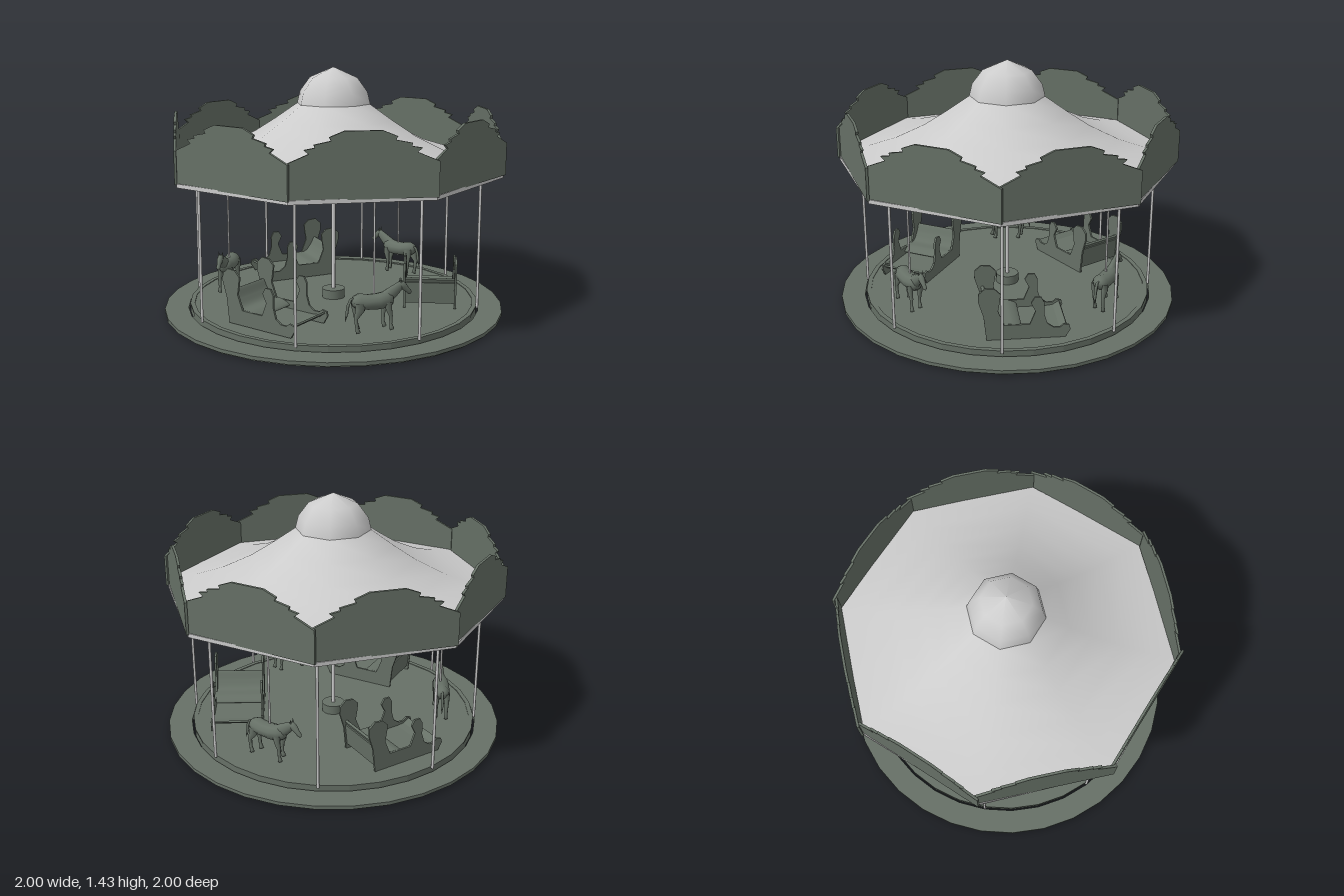
import * as THREE from 'three';

const green = new THREE.MeshStandardMaterial({ color: 0x667066, side: THREE.DoubleSide });
const greenFlat = new THREE.MeshStandardMaterial({ color: 0x667066, flatShading: true });
const grey = new THREE.MeshStandardMaterial({ color: 0xcccccc, side: THREE.DoubleSide });
const greyFlat = new THREE.MeshStandardMaterial({ color: 0xcccccc, flatShading: true, side: THREE.DoubleSide });

function add(parent, name, geometry, material, x = 0, y = 0, z = 0) {
  const mesh = new THREE.Mesh(geometry, material);
  mesh.name = name;
  mesh.position.set(x, y, z);
  parent.add(mesh);
  return mesh;
}

// Group turned about the central axis; children sit out along its +z
function spoke(parent, name, angle) {
  const g = new THREE.Group();
  g.name = name;
  g.rotation.y = angle;
  parent.add(g);
  return g;
}

function disc(parent, name, radius, y0, y1, material, sides = 32) {
  return add(parent, name, new THREE.CylinderGeometry(radius, radius, y1 - y0, sides), material, 0, (y0 + y1) / 2, 0);
}

const pts = list => list.map(([x, y]) => new THREE.Vector2(x, y));

function extrude(list, depth, smooth = false) {
  const shape = new THREE.Shape();
  if (smooth) {
    shape.moveTo(...list[0]);
    shape.splineThru(pts(list.slice(1)));
  } else shape.setFromPoints(pts(list));
  const g = new THREE.ExtrudeGeometry(shape, { depth, bevelEnabled: false, curveSegments: 24 });
  return g.translate(0, 0, -depth / 2);
}

// Ring with a rectangular section
function band(outer, inner, y0, y1, sides, start = 0) {
  return new THREE.LatheGeometry(pts([[outer, y0], [outer, y1], [inner, y1], [inner, y0], [outer, y0]]), sides, start);
}

// Elliptical sections [x, y, half height, half width] joined along a path in the xy plane
function loft(sections, sides = 10) {
  const pos = [], idx = [], n = sections.length;
  sections.forEach(([x, y, h, w], i) => {
    const a = sections[Math.max(i - 1, 0)], b = sections[Math.min(i + 1, n - 1)];
    const len = Math.hypot(b[0] - a[0], b[1] - a[1]);
    const tx = (b[0] - a[0]) / len, ty = (b[1] - a[1]) / len;
    for (let j = 0; j < sides; j++) {
      const t = j / sides * Math.PI * 2, c = Math.cos(t) * h;
      pos.push(x - ty * c, y + tx * c, Math.sin(t) * w);
      if (i < n - 1) {
        const p = i * sides + j, q = i * sides + (j + 1) % sides;
        idx.push(p, q, p + sides, q, q + sides, p + sides);
      }
    }
  });
  const g = new THREE.BufferGeometry();
  g.setAttribute('position', new THREE.Float32BufferAttribute(pos, 3));
  g.setIndex(idx);
  g.computeVertexNormals();
  return g;
}

// Horse facing +x
function buildHorse(parent) {
  add(parent, 'horseBody', loft([
    [-0.128, 0.24, 0.002, 0.002], [-0.12, 0.238, 0.028, 0.028], [-0.09, 0.235, 0.044, 0.046],
    [-0.04, 0.226, 0.042, 0.05], [0.02, 0.224, 0.044, 0.05], [0.07, 0.23, 0.046, 0.044],
    [0.1, 0.235, 0.033, 0.03], [0.114, 0.236, 0.002, 0.002]]), green);
  add(parent, 'horseNeck', loft([
    [0.05, 0.232, 0.038, 0.03], [0.1, 0.262, 0.036, 0.024], [0.135, 0.288, 0.028, 0.019],
    [0.157, 0.307, 0.02, 0.015], [0.166, 0.315, 0.002, 0.002]]), green);
  add(parent, 'horseHead', loft([
    [0.142, 0.317, 0.002, 0.002], [0.15, 0.31, 0.019, 0.016], [0.168, 0.295, 0.021, 0.018],
    [0.19, 0.272, 0.014, 0.012], [0.207, 0.254, 0.013, 0.012], [0.213, 0.248, 0.002, 0.002]]), green);
  add(parent, 'horseTail', loft([
    [-0.115, 0.255, 0.006, 0.006], [-0.135, 0.248, 0.008, 0.008], [-0.15, 0.215, 0.009, 0.009],
    [-0.156, 0.17, 0.008, 0.008], [-0.165, 0.13, 0.001, 0.001]], 6), green);
  for (const s of [-1, 1]) {
    add(parent, 'horseEar', new THREE.ConeGeometry(0.006, 0.026, 5), green, 0.153, 0.33, s * 0.011);
    const step = s * 0.01;
    add(parent, 'foreLeg', loft([
      [0.07, 0.225, 0.024, 0.018], [0.073, 0.185, 0.018, 0.016], [0.075 + step, 0.145, 0.011, 0.011],
      [0.075 + step, 0.1, 0.008, 0.008], [0.078 + step, 0.085, 0.011, 0.011],
      [0.082 + step, 0.07, 0.013, 0.012], [0.082 + step, 0.069, 0.001, 0.001]], 8), green, 0, 0, s * 0.03);
    add(parent, 'hindLeg', loft([
      [-0.09, 0.235, 0.033, 0.018], [-0.092, 0.195, 0.027, 0.018], [-0.105 - step, 0.15, 0.012, 0.011],
      [-0.1 - step, 0.1, 0.009, 0.009], [-0.096 - step, 0.085, 0.011, 0.011],
      [-0.092 - step, 0.07, 0.013, 0.012], [-0.092 - step, 0.069, 0.001, 0.001]], 8), green, 0, 0, s * 0.03);
  }
}

// Bench facing +x: two cut-out sides joined by seat and boards
function buildBench(parent) {
  const side = extrude([
    [-0.185, 0.06], [-0.2, 0.2], [-0.228, 0.29], [-0.226, 0.335], [-0.19, 0.367], [-0.14, 0.362],
    [-0.108, 0.33], [-0.112, 0.29], [-0.122, 0.23], [-0.088, 0.145], [0.05, 0.145], [0.08, 0.22],
    [0.055, 0.27], [0.075, 0.303], [0.11, 0.303], [0.128, 0.27], [0.128, 0.2], [0.145, 0.145],
    [0.18, 0.12], [0.215, 0.12], [0.235, 0.137], [0.265, 0.13], [0.272, 0.105], [0.245, 0.06]], 0.012);
  for (const s of [-1, 1]) add(parent, 'benchSide', side, green, 0, 0, s * 0.145);
  add(parent, 'benchSeat', extrude([
    [-0.193, 0.235], [-0.178, 0.24], [-0.15, 0.19], [-0.11, 0.15], [-0.04, 0.145], [0.0, 0.13],
    [0.005, 0.115], [-0.05, 0.13], [-0.12, 0.135], [-0.165, 0.18], [-0.193, 0.235]], 0.28, true), green);
  add(parent, 'benchBack', extrude([[-0.18, 0.09], [-0.193, 0.215], [-0.18, 0.215], [-0.167, 0.09]], 0.28), green);
  add(parent, 'footBoard', extrude([
    [-0.17, 0.1], [0.17, 0.1], [0.215, 0.105], [0.25, 0.128], [0.256, 0.12], [0.22, 0.094],
    [0.17, 0.09], [-0.17, 0.09]], 0.28), green);
}

export function createModel() {
  const model = new THREE.Group();
  model.name = 'carousel';

  // Platform: outer step and deck with a narrow gap between them
  add(model, 'platformLowerEdge', band(0.99, 0.862, 0.004, 0.016, 32), greenFlat);
  add(model, 'platformStep', band(1, 0.862, 0.012, 0.032, 32), greenFlat);
  disc(model, 'platformDeck', 0.85, 0.006, 0.056, greenFlat);
  add(model, 'deckRim', band(0.852, 0.825, 0.05, 0.06, 32), greenFlat);
  disc(model, 'hub', 0.068, 0, 0.11, green, 16);

  // Poles
  disc(model, 'centrePole', 0.011, 0.1, 1.2, grey, 12);
  for (let k = 0; k < 8; k++) {
    const g = spoke(model, 'roofPoleSpoke', (k + 0.5) * Math.PI / 4);
    add(g, 'roofPole', new THREE.CylinderGeometry(0.008, 0.008, 0.8, 8), grey, 0, 0.45, 0.857);
  }
  add(model, 'horsePoleRing', band(0.645, 0.62, 0.8, 0.82, 16), greyFlat);

  // Three horses and three benches
  for (let k = 0; k < 3; k++) {
    const turn = k * Math.PI * 2 / 3;
    const h = spoke(model, 'horseSpoke', turn + 0.962);
    const horse = new THREE.Group();
    horse.name = 'horse';
    horse.position.z = 0.653;
    buildHorse(horse);
    add(horse, 'horsePole', new THREE.CylinderGeometry(0.006, 0.006, 0.63, 8), grey, 0, 0.495, -0.005);
    h.add(horse);
    const b = spoke(model, 'benchSpoke', turn);
    const bench = new THREE.Group();
    bench.name = 'bench';
    bench.position.z = 0.575;
    buildBench(bench);
    b.add(bench);
  }

  // Roof: canopy flattening towards the eaves, with a ceiling just below it
  const start = Math.PI / 8;
  add(model, 'canopy', new THREE.LatheGeometry(pts([
    [0.97, 0.885], [0.82, 0.912], [0.65, 0.965], [0.48, 1.045], [0.35, 1.127], [0.215, 1.22]]), 8, start), grey);
  add(model, 'ceiling', new THREE.LatheGeometry(pts([
    [0.97, 0.835], [0.85, 0.853], [0.7, 0.91], [0.55, 0.98], [0.42, 1.055], [0.3, 1.135], [0.2, 1.2], [0, 1.21]]),
  8, start), grey);
  add(model, 'dome', new THREE.LatheGeometry(pts([
    [0.217, 1.22], [0.2, 1.29], [0.14, 1.37], [0, 1.43]]), 8, start), grey);
  add(model, 'eaveTrim', band(0.982, 0.955, 0.823, 0.845, 8, start), greyFlat);

  // Stepped fascia panels, each turned slightly so one end laps its neighbour
  const half = [[0.384, 0.84], [0.384, 1.022], [0.27, 1.07], [0.295, 1.09], [0.24, 1.1],
    [0.245, 1.115], [0.16, 1.132], [0.17, 1.15], [0.095, 1.18]];
  const outline = [...half, ...half.slice().reverse().map(([x, y]) => [-x, y])];
  const panel = extrude(outline, 0.014);
  for (let k = 0; k < 8; k++) {
    const g = spoke(model, 'fasciaSide', k * Math.PI / 4);
    add(g, 'fasciaPanel', panel, green, 0, 0, 0.902).rotation.y = -0.022;
  }
  return model;
}
